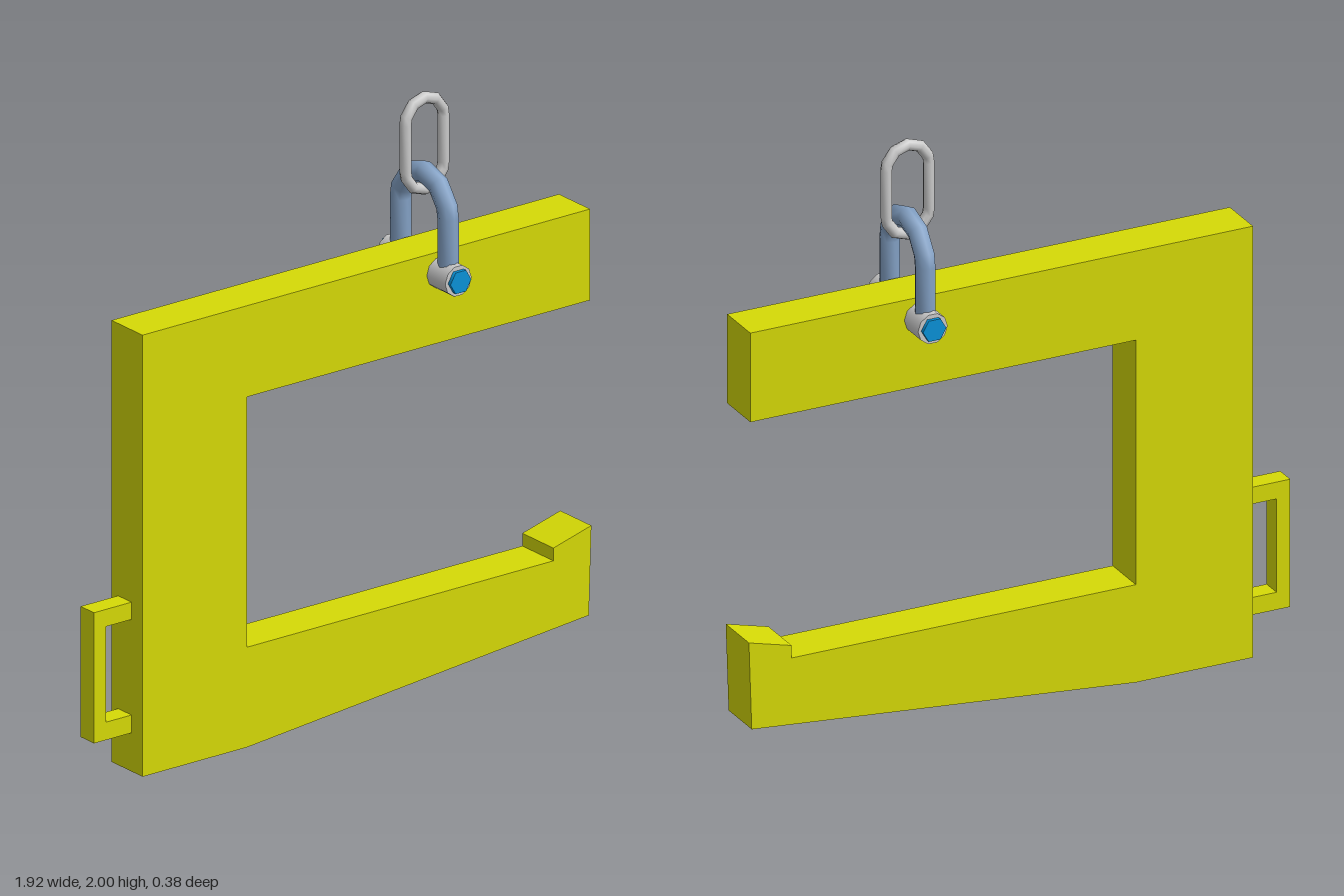
import * as THREE from 'three';

const material = (color) => new THREE.MeshStandardMaterial({ color });

// Flat plate with the given outline, between two z positions
function plate(name, points, zMin, zMax, mat) {
  const shape = new THREE.Shape(points.map(([x, y]) => new THREE.Vector2(x, y)));
  const geo = new THREE.ExtrudeGeometry(shape, { depth: zMax - zMin, bevelEnabled: false });
  geo.translate(0, 0, zMin);
  const mesh = new THREE.Mesh(geo, mat);
  mesh.name = name;
  return mesh;
}

// Faceted arc points in the xy plane, angles in degrees
function arc(cy, r, angles) {
  return angles.map((a) => {
    const t = THREE.MathUtils.degToRad(a);
    return new THREE.Vector2(r * Math.cos(t), cy + r * Math.sin(t));
  });
}

// Round bar swept along a flat path with mitred corners
function bar(path, r, closed, sides = 8) {
  const n = path.length, pos = [], index = [];
  path.forEach((p, i) => {
    const prev = closed ? path[(i + n - 1) % n] : path[Math.max(i - 1, 0)];
    const next = closed ? path[(i + 1) % n] : path[Math.min(i + 1, n - 1)];
    const d1 = p.clone().sub(prev).normalize(), d2 = next.clone().sub(p).normalize();
    const dir = d1.clone().add(d2).normalize();
    const miter = 1 / dir.dot(d2.lengthSq() > 0 ? d2 : d1);
    for (let j = 0; j < sides; j++) {
      const a = (j / sides) * Math.PI * 2;
      const u = r * miter * Math.cos(a);
      pos.push(p.x + dir.y * u, p.y - dir.x * u, r * Math.sin(a));
    }
  });
  for (let i = 0; i < (closed ? n : n - 1); i++) {
    for (let j = 0; j < sides; j++) {
      const k = (j + 1) % sides, m = (i + 1) % n;
      const a = i * sides + j, b = i * sides + k, c = m * sides + k, d = m * sides + j;
      index.push(a, c, b, a, d, c);
    }
  }
  const geo = new THREE.BufferGeometry();
  geo.setAttribute('position', new THREE.Float32BufferAttribute(pos, 3));
  geo.setIndex(index);
  geo.computeVertexNormals();
  return geo;
}

export function createModel() {
  const model = new THREE.Group();
  model.name = 'liftingHook';
  const yellow = material(0xd6da06);
  const grey = material(0xcccccc);
  const steel = material(0x84a2c6);
  const blue = material(0x0a92d8);

  // C-shaped frame with raised lip on the lower arm
  model.add(plate('frame', [
    [-0.812, 0], [-0.4, 0], [0.95, 0.12], [0.96, 0.42], [0.81, 0.38], [0.81, 0.337],
    [-0.4, 0.337], [-0.4, 1.18], [0.955, 1.18], [0.955, 1.487], [-0.812, 1.487],
  ], -0.08, 0.08, yellow));

  // Grab handle on the back edge
  model.add(plate('handle', [
    [-0.81, 0.13], [-0.81, 0.19], [-0.912, 0.19], [-0.912, 0.512],
    [-0.81, 0.512], [-0.81, 0.57], [-0.96, 0.57], [-0.96, 0.13],
  ], -0.046, 0.023, yellow));

  const hanger = new THREE.Group();
  hanger.name = 'hanger';
  hanger.position.x = 0.362;
  model.add(hanger);

  // Shackle bow straddling the upper arm
  const bow = [
    new THREE.Vector2(0.122, 1.42),
    ...arc(1.61, 0.122, [0, 18, 54, 90, 126, 162, 180]),
    new THREE.Vector2(-0.122, 1.42),
  ];
  const shackle = new THREE.Mesh(bar(bow, 0.034, false), steel);
  shackle.name = 'shackleBow';
  shackle.rotation.y = Math.PI / 2;
  hanger.add(shackle);

  // Pin and its hexagonal ends
  const addPin = (name, r, length, sides, mat) => {
    const geo = new THREE.CylinderGeometry(r, r, length, sides);
    geo.rotateY(Math.PI / 2).rotateX(Math.PI / 2);
    const mesh = new THREE.Mesh(geo, mat);
    mesh.name = name;
    mesh.position.y = 1.417;
    hanger.add(mesh);
  };
  addPin('shacklePin', 0.052, 0.35, 10, grey);
  addPin('pinBolt', 0.041, 0.376, 6, blue);

  // Chain link through the bow
  const steps = [0, 18, 54, 90, 126, 162, 180];
  const loop = [...arc(1.906, 0.075, steps), ...arc(1.748, 0.075, steps.map((a) => a + 180))];
  const link = new THREE.Mesh(bar(loop, 0.019, true), grey);
  link.name = 'chainLink';
  hanger.add(link);

  return model;
}
